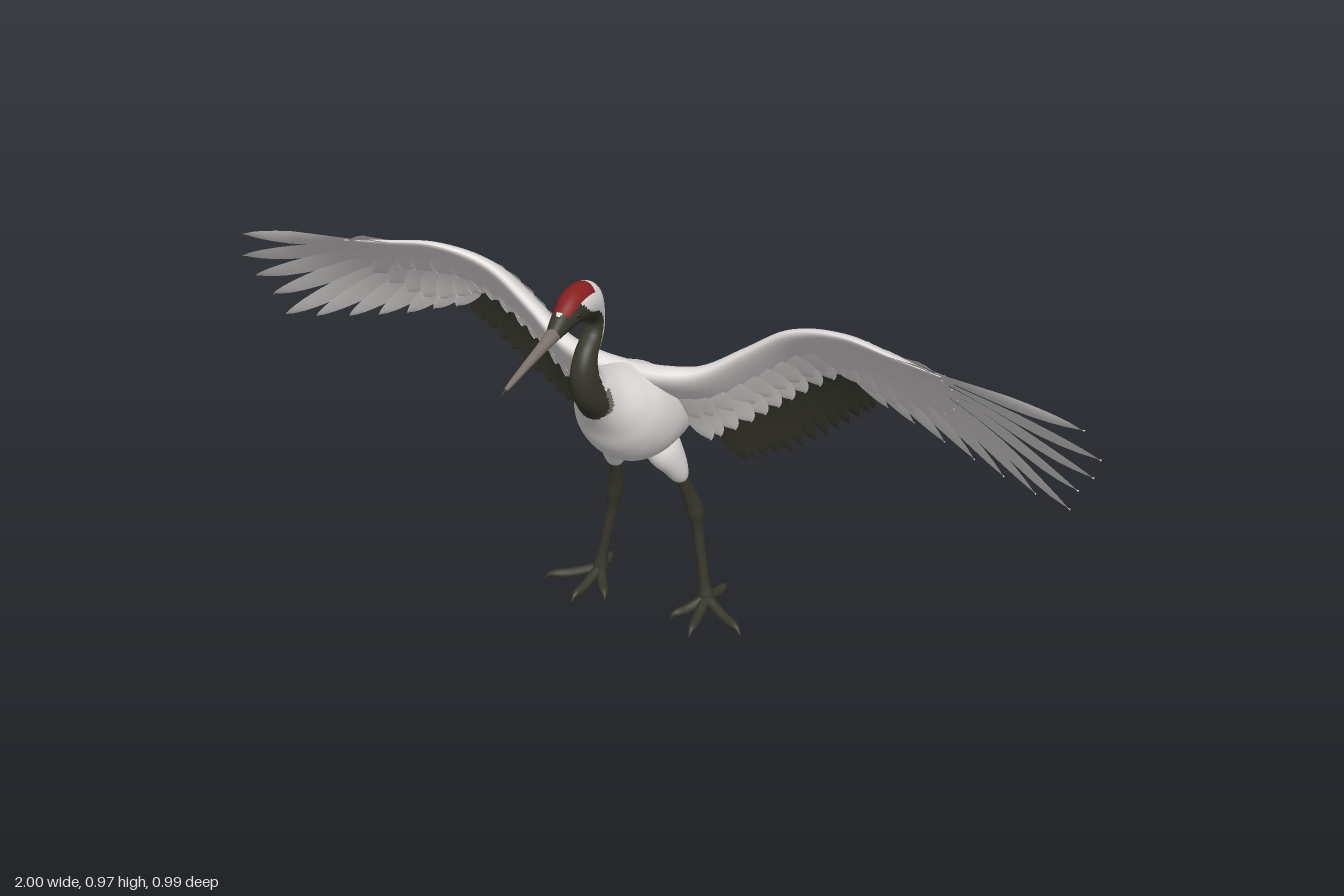
import * as THREE from 'three';

const mat = (name, color, side = THREE.FrontSide) => {
  const m = new THREE.MeshStandardMaterial({ color, side });
  m.name = name;
  return m;
};
const V2 = (p) => new THREE.Vector2(p[0], p[1]);
const V3 = (x, y, z) => new THREE.Vector3(x, y, z);

// smooth lookup through a table of [key, ...values]
function table(rows) {
  const n = rows[0].length - 1;
  const it = new THREE.CubicInterpolant(rows.map((r) => r[0]), rows.flatMap((r) => r.slice(1)), n);
  return (t) => Array.from(it.evaluate(t));
}

// closed skin over rings of points; pick(i, j) chooses the material slot of each cell
function skin(rings, pick = () => 0, slots = 1) {
  const n = rings[0].length, lists = Array.from({ length: slots }, () => []);
  for (let i = 0; i < rings.length - 1; i++)
    for (let j = 0; j < n; j++) {
      const a = i * n + j, b = i * n + (j + 1) % n, c = a + n, d = b + n;
      lists[pick(i, j)].push(a, c, b, b, c, d);
    }
  const g = new THREE.BufferGeometry().setFromPoints(rings.flat());
  g.setIndex(lists.flat());
  let start = 0;
  if (slots > 1) lists.forEach((l, k) => { g.addGroup(start, l.length, k); start += l.length; });
  g.computeVertexNormals();
  return g;
}

// tube with elliptical rings; rows are [x, y, z, side radius, upright radius]
function loft(rows, steps, radial, ref = V3(1, 0, 0), pick, slots) {
  const at = table(rows.map((r, i) => [i, ...r])), last = rows.length - 1, rings = [];
  for (let i = 0; i <= steps; i++) {
    const u = (i / steps) * last, p = at(u);
    const a = at(Math.max(0, u - 0.05)), b = at(Math.min(last, u + 0.05));
    const t = V3(b[0] - a[0], b[1] - a[1], b[2] - a[2]).normalize();
    const s = ref.clone().addScaledVector(t, -ref.dot(t)).normalize();
    const n = s.clone().cross(t);
    rings.push(Array.from({ length: radial }, (_, j) => {
      const w = (j / radial) * Math.PI * 2;
      return V3(p[0], p[1], p[2]).addScaledVector(s, Math.cos(w) * Math.max(p[3], 0.0005))
        .addScaledVector(n, Math.sin(w) * Math.max(p[4], 0.0005));
    }));
  }
  return skin(rings, pick && ((i, j) => pick(((i + 0.5) / steps) * last, Math.sin(((j + 0.5) / radial) * Math.PI * 2))), slots);
}

// row of overlapping feathers between a root line and a tip line, laid on a surface
function feathers(count, roots, tips, width, onSurface, taper = 0.6) {
  const rc = new THREE.SplineCurve(roots.map(V2)), tc = new THREE.SplineCurve(tips.map(V2));
  const S = [0, 0.15, 0.3, 0.45, 0.6, 0.72, 0.82, 0.9, 0.96, 0.99, 1], pts = [], idx = [];
  for (let k = 0; k < count; k++) {
    const f = k / (count - 1), r = rc.getPoint(f), t = tc.getPoint(f);
    const d = t.clone().sub(r).normalize(), base = pts.length;
    S.forEach((s, i) => {
      const tip = s > taper ? Math.max(0, 1 - ((s - taper) / (1 - taper)) ** 2) ** 0.65 : 1;
      const w = width * 0.5 * Math.min(1, 0.55 + 0.75 * s) * tip;
      for (let j = -1; j <= 1; j++) {
        const q = r.clone().lerp(t, s);
        pts.push(onSurface(q.x - d.y * w * j, q.y + d.x * w * j, 0.004 * j + (j ? 0 : 0.0015)));
        if (i && j < 1) {
          const a = base + i * 3 + j + 1;
          idx.push(a - 3, a - 2, a, a - 2, a + 1, a);
        }
      }
    });
  }
  const g = new THREE.BufferGeometry().setFromPoints(pts);
  g.setIndex(idx);
  g.computeVertexNormals();
  return g;
}

// leading edge of the wing: x -> y, z, camber depth, camber length, arm chord, arm thickness
const lead = table([
  [0, 0.685, -0.035, 0.25, 0.3, 0.1, 0.034], [0.08, 0.692, -0.035, 0.25, 0.3, 0.12, 0.036],
  [0.16, 0.706, -0.05, 0.25, 0.3, 0.13, 0.032], [0.25, 0.764, -0.064, 0.25, 0.26, 0.14, 0.028],
  [0.34, 0.828, -0.06, 0.235, 0.2, 0.14, 0.025], [0.46, 0.861, -0.037, 0.235, 0.16, 0.13, 0.021],
  [0.58, 0.85, -0.019, 0.245, 0.16, 0.1, 0.015], [0.68, 0.832, -0.015, 0.24, 0.17, 0.03, 0.004],
  [0.8, 0.812, -0.017, 0.22, 0.22, 0.02, 0.003], [0.92, 0.79, -0.025, 0.2, 0.32, 0.02, 0.003],
  [1.02, 0.775, -0.03, 0.19, 0.35, 0.02, 0.003]]);
const drop = (x, y) => Math.max(0, lead(Math.max(0, x))[0] - y);
function wingZ(x, y) {
  const [, lz, depth, length] = lead(Math.max(0, x));
  return lz - depth * (1 - Math.exp(-drop(x, y) / length));
}
const onWing = (lift) => (x, y, e) => V3(x, y, wingZ(x, y) + lift * Math.min(1, 0.3 + drop(x, y) / 0.15) + e);

export function createModel() {
  const white = mat('white plumage', 0xe4e0df), whiteVane = mat('white feather', 0xe0dcdb, THREE.DoubleSide);
  const dark = mat('dark plumage', 0x38372d), darkVane = mat('dark feather', 0x35342b, THREE.DoubleSide);
  const red = mat('red crown', 0x86201f), horn = mat('beak horn', 0x7d736c), eyeMat = mat('eye brown', 0x2a1712);
  const model = new THREE.Group();
  const add = (parent, name, geo, m) => {
    const mesh = new THREE.Mesh(geo, m);
    mesh.name = name;
    parent.add(mesh);
    return mesh;
  };

  // head, neck and body in one skin, coloured by region
  const darkLimit = table([[0, 1.2], [1, 0.9], [1.5, 0.75], [1.9, 0.1], [2.2, -0.25], [3, -0.35], [4, -0.1], [5, -0.05],
    [6, 0.3], [7, 0.25], [8, 0.0], [8.6, -0.45], [9.2, -1.2], [17, -1.5]]);
  const bodyRows = [
    [0, 0.906, 0.29, 0.015, 0.014], [0, 0.919, 0.25, 0.023, 0.026], [0, 0.929, 0.2, 0.031, 0.038],
    [0, 0.915, 0.15, 0.031, 0.039], [0, 0.868, 0.118, 0.023, 0.021], [0, 0.83, 0.123, 0.022, 0.018],
    [0, 0.797, 0.153, 0.024, 0.024], [0, 0.757, 0.16, 0.029, 0.035], [0, 0.715, 0.14, 0.036, 0.044],
    [0, 0.676, 0.098, 0.052, 0.054], [0, 0.637, 0.05, 0.08, 0.074], [0, 0.597, 0.0, 0.1, 0.1],
    [0, 0.552, -0.063, 0.107, 0.109], [0, 0.521, -0.13, 0.1, 0.089], [0, 0.495, -0.2, 0.086, 0.067],
    [0, 0.455, -0.28, 0.065, 0.04], [0, 0.412, -0.35, 0.04, 0.016], [0, 0.397, -0.38, 0.01, 0.003]];
  const region = (u, s) => {
    const limit = darkLimit(u)[0];
    if (u > 0.95 && u < 2.6 && s > 0.56) return 2;
    if (u > 8.1 && u < 8.9 && s > limit && s < limit + 0.3) return 3;
    return s < limit ? 1 : 0;
  };
  add(model, 'body', loft(bodyRows, 170, 64, V3(1, 0, 0), region, 4), [white, dark, red, horn]);

  // beak with a darker tip
  add(model, 'beak', loft([[0, 0.907, 0.285, 0.015, 0.015], [0, 0.9, 0.34, 0.011, 0.011], [0, 0.891, 0.41, 0.008, 0.0075],
    [0, 0.883, 0.465, 0.005, 0.005], [0, 0.878, 0.496, 0.001, 0.001]].reverse(), 24, 14,
  V3(1, 0, 0), (u) => (u < 0.7 ? 1 : 0), 2), [horn, dark]);

  // tail: long fan below, shorter coverts above, both drooping at the sides
  const tailRow = (name, count, roots, tips, width, height) =>
    add(model, name, feathers(count, roots, tips, width, (x, z, e) => V3(x, height(z) - 2.5 * x * x + e, z)), whiteVane);
  const arc = (hw, zMid, zSide) => [[-hw, zSide], [-hw * 0.6, zMid * 0.75 + zSide * 0.25], [0, zMid], [hw * 0.6, zMid * 0.75 + zSide * 0.25], [hw, zSide]];
  tailRow('tailFan', 9, arc(0.05, -0.22, -0.2), arc(0.1, -0.498, -0.435), 0.05, (z) => 0.3 + (z + 0.495) * 0.72);
  tailRow('tailCovertsLong', 9, arc(0.06, -0.18, -0.18), arc(0.125, -0.428, -0.36), 0.058, (z) => 0.416 + (z + 0.42) * 0.7);
  tailRow('tailCovertsShort', 9, arc(0.05, -0.12, -0.12), arc(0.125, -0.35, -0.28), 0.06, (z) => 0.426 + (z + 0.42) * 0.7);

  // shared geometry of one wing; the arm is fuller on its front side
  const armRings = Array.from({ length: 41 }, (_, i) => {
    const x = (i / 40) * 0.68, [ly, , , , chord, thick] = lead(x);
    return Array.from({ length: 28 }, (_, j) => {
      const w = (j / 28) * Math.PI * 2, v = (1 - Math.cos(w)) / 2, y = ly - v * chord;
      const full = Math.sin(w) < 0 ? 1.7 : 1;
      return V3(x, y, wingZ(x, y) - Math.sin(w) * thick * full * (1 - 0.6 * v));
    });
  });
  const wingParts = [
    ['wingArm', skin(armRings), white],
    ['primaries', feathers(11, [[0.58, 0.835], [0.56, 0.81], [0.52, 0.785], [0.46, 0.765], [0.41, 0.75]],
      [[0.965, 0.779], [0.998, 0.703], [0.985, 0.645], [0.955, 0.595], [0.94, 0.535], [0.865, 0.54], [0.79, 0.545], [0.72, 0.555],
        [0.65, 0.57], [0.58, 0.595], [0.52, 0.615]], 0.05, onWing(0.006), 0.45), whiteVane],
    ['secondaries', feathers(13, [[0.4, 0.745], [0.3, 0.69], [0.2, 0.63], [0.13, 0.58]],
      [[0.485, 0.595], [0.4, 0.51], [0.29, 0.42], [0.2, 0.385]], 0.056, onWing(-0.002)), darkVane],
  ];
  // covert rows on the upper (back) and under (front) sides
  for (const [side, lift] of [['upper', -0.032], ['under', 0.022]]) {
    wingParts.push(
      [side + 'PrimaryCoverts', feathers(10, [[0.55, 0.835], [0.52, 0.82], [0.46, 0.8], [0.4, 0.775]],
        [[0.68, 0.812], [0.7, 0.75], [0.67, 0.68], [0.61, 0.64], [0.54, 0.64], [0.46, 0.675]], 0.058, onWing(lift * 0.8)), whiteVane],
      [side + 'SecondaryCoverts', feathers(11, [[0.38, 0.78], [0.28, 0.72], [0.18, 0.66], [0.09, 0.62]],
        [[0.43, 0.69], [0.33, 0.605], [0.235, 0.525], [0.14, 0.46]], 0.058, onWing(lift * 0.9)), whiteVane],
      [side + 'SmallCoverts', feathers(14, [[0.5, 0.82], [0.36, 0.79], [0.22, 0.71], [0.08, 0.65]],
        [[0.6, 0.74], [0.46, 0.725], [0.35, 0.66], [0.25, 0.585], [0.13, 0.53]], 0.062, onWing(lift * 1.15)), whiteVane]);
  }

  // shared geometry of one leg
  const legParts = [
    ['thigh', loft([[0.035, 0.51, -0.095, 0.025, 0.035], [0.053, 0.455, -0.102, 0.037, 0.046], [0.071, 0.41, -0.119, 0.029, 0.034],
      [0.08, 0.365, -0.138, 0.019, 0.019], [0.081, 0.352, -0.142, 0.003, 0.003]], 24, 20), white],
    ['leg', loft([[0.079, 0.375, -0.137, 0.014, 0.015], [0.088, 0.32, -0.158, 0.015, 0.016], [0.096, 0.28, -0.172, 0.018, 0.019],
      [0.102, 0.25, -0.178, 0.019, 0.021], [0.108, 0.21, -0.179, 0.013, 0.014], [0.119, 0.14, -0.175, 0.012, 0.012],
      [0.131, 0.07, -0.171, 0.013, 0.013], [0.136, 0.035, -0.17, 0.018, 0.018], [0.137, 0.018, -0.17, 0.006, 0.006]], 48, 16), dark],
  ];
  // toes: three forward, one back, each ending in a hooked claw
  [[0.15, -0.048], [0.252, -0.105], [0.083, -0.088], [0.15, -0.26]].forEach(([x, z], k) => {
    const cx = 0.137, cz = -0.17, dir = V3(x - cx, 0, z - cz);
    const rows = [[0, 0.03, 0.014], [0.3, 0.022, 0.012], [0.55, 0.016, 0.0115], [0.78, 0.016, 0.01], [0.9, 0.014, 0.006], [1, 0.003, 0.001]]
      .map(([f, y, r]) => [cx + dir.x * f, y, cz + dir.z * f, r, r]);
    legParts.push(['toe' + (k + 1), loft(rows, 20, 12, V3(-dir.z, 0, dir.x).normalize()), dark]);
  });

  // mirror wings, legs and eyes
  for (const [label, s] of [['left', 1], ['right', -1]]) {
    for (const [part, list] of [['Wing', wingParts], ['Leg', legParts]]) {
      const group = new THREE.Group();
      group.name = label + part;
      group.scale.x = s;
      list.forEach(([name, geo, m]) => add(group, name, geo, m));
      model.add(group);
    }
    add(model, label + 'Eye', new THREE.SphereGeometry(0.0045, 14, 10), eyeMat).position.set(s * 0.025, 0.927, 0.232);
  }
  return model;
}
